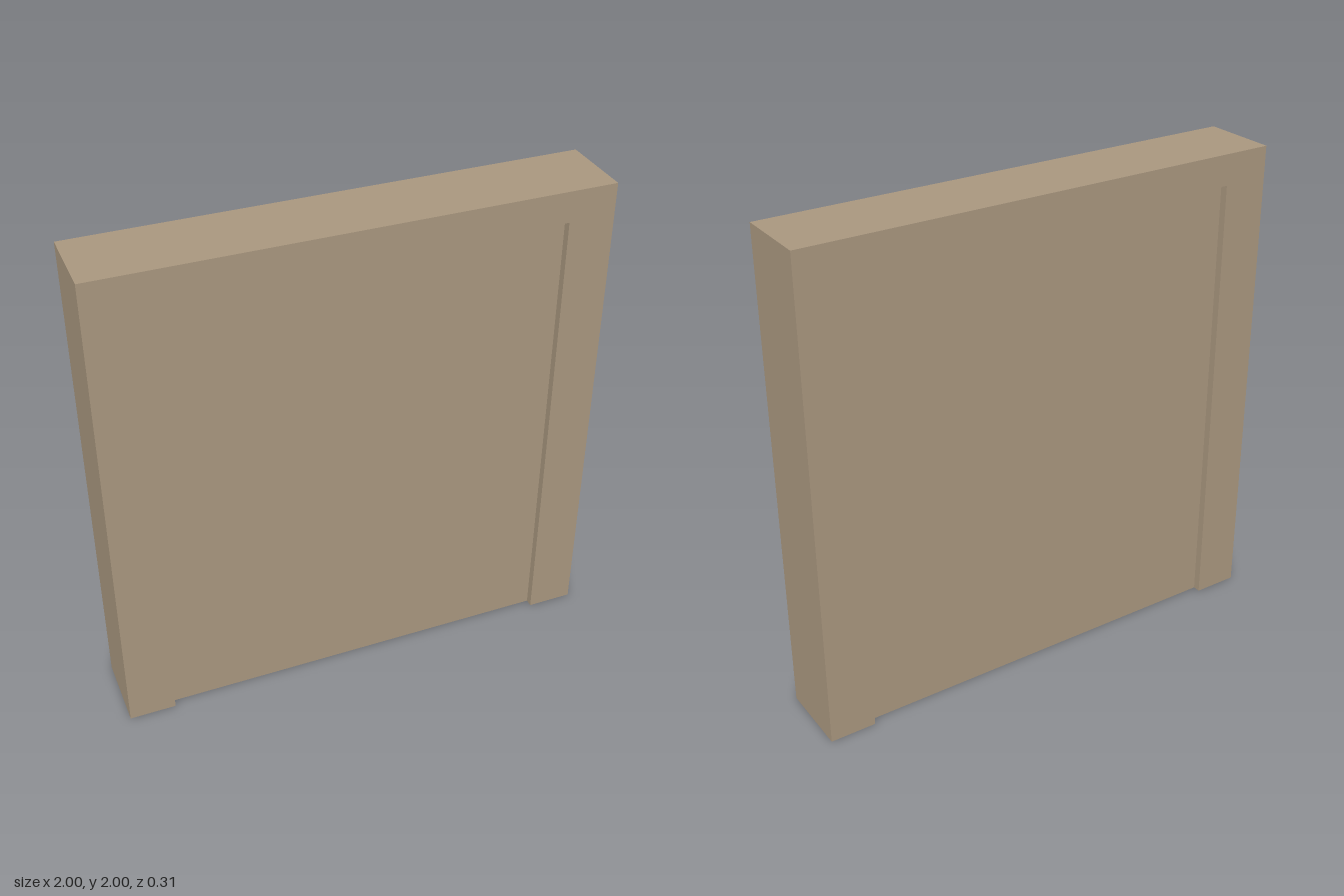
import * as THREE from 'three';

const WIDTH = 2, HEIGHT = 2, DEPTH = 0.3125;
const OPEN_HALF = 0.8125, OPEN_TOP = 1.875, PANEL_Z = 0.125;

export function createModel() {
  const model = new THREE.Group();
  model.name = 'doorway';

  const tan = new THREE.MeshStandardMaterial({ color: 0xa8967e, side: THREE.DoubleSide });
  tan.name = 'tan';

  // Two jambs and a header as one upside-down U
  const outline = new THREE.Shape([
    [-WIDTH / 2, 0], [-OPEN_HALF, 0], [-OPEN_HALF, OPEN_TOP], [OPEN_HALF, OPEN_TOP],
    [OPEN_HALF, 0], [WIDTH / 2, 0], [WIDTH / 2, HEIGHT], [-WIDTH / 2, HEIGHT],
  ].map(([x, y]) => new THREE.Vector2(x, y)));
  const frameGeometry = new THREE.ExtrudeGeometry(outline, { depth: DEPTH, bevelEnabled: false });
  frameGeometry.translate(0, 0, -DEPTH / 2);
  const frame = new THREE.Mesh(frameGeometry, tan);
  frame.name = 'frame';
  model.add(frame);

  // Thin recessed panels, hollow between and open at the bottom
  const panelGeometry = new THREE.PlaneGeometry(OPEN_HALF * 2, OPEN_TOP);
  for (const [name, side] of [['frontPanel', 1], ['backPanel', -1]]) {
    const panel = new THREE.Mesh(panelGeometry, tan);
    panel.name = name;
    panel.position.set(0, OPEN_TOP / 2, side * PANEL_Z);
    if (side < 0) panel.rotation.y = Math.PI;
    model.add(panel);
  }

  return model;
}
